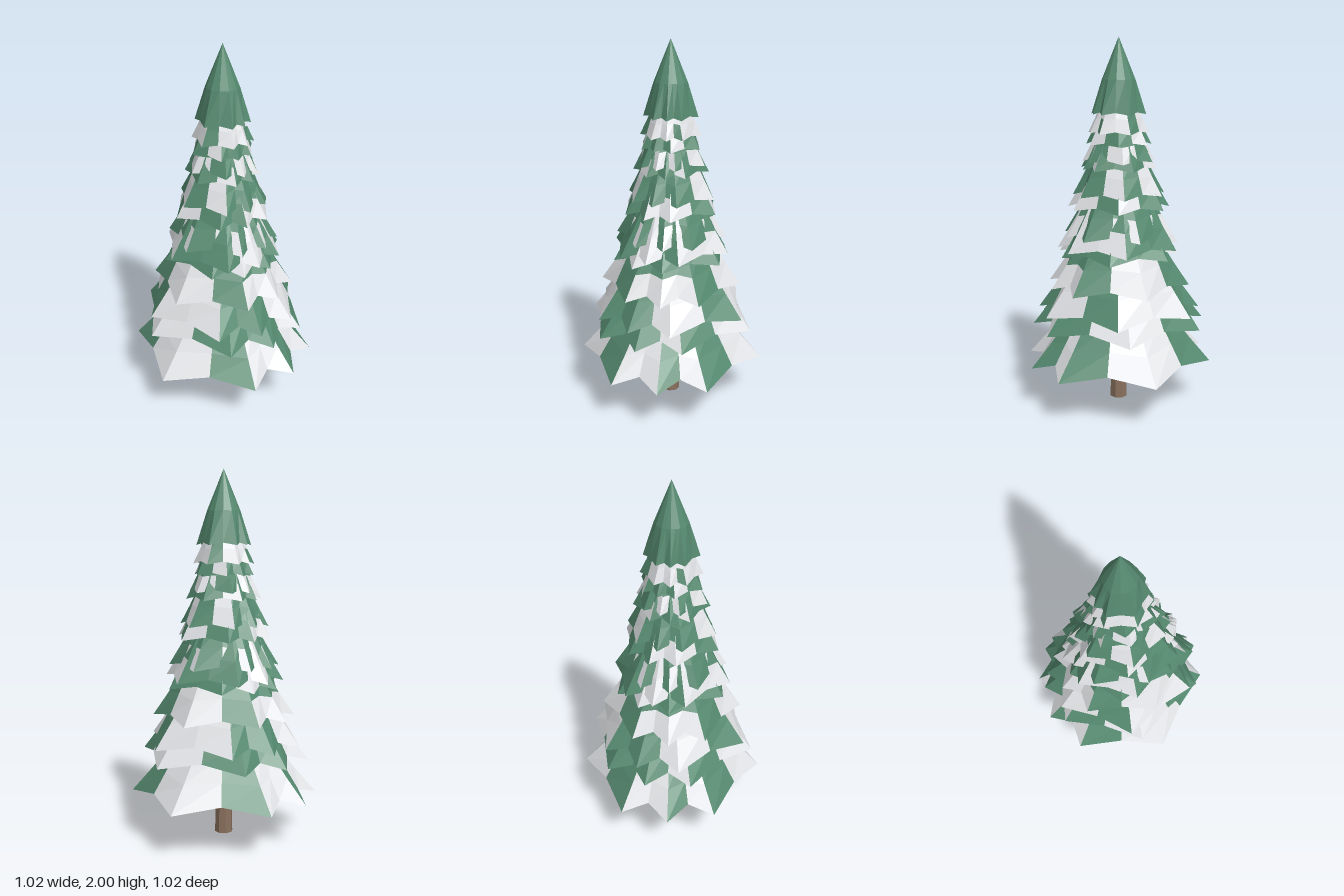
import * as THREE from 'three';

const makeColour = (name, color) => {
  const m = new THREE.MeshStandardMaterial({ color, side: THREE.DoubleSide });
  m.name = name;
  return m;
};
const needle = makeColour('needle green', 0x55896f);
const snow = makeColour('snow white', 0xe2e4e7);
const bark = makeColour('bark brown', 0x8a705e);

// Star corners for half a turn, in degrees; even entries are tips, odd are valleys
const HALF = [0, 30, 60, 75, 90, 105, 120, 150];

// Rim height, tip radius, turn, and colour per sector (w = snow, g = needles)
// for the lower and upper half of the visible skirt; repeats after half a turn
const TIERS = [
  [0.235, 0.512, 0, 'wgwgwwgw', 'wgwgwwgw'],
  [0.45, 0.475, 15, 'wgwggggw', 'wgwggggw'],
  [0.53, 0.445, 22.5, 'gwwgggww', 'gwwgggww'],
  [0.67, 0.39, 0, 'wgwwwwgw', 'wggggggw'],
  [0.84, 0.33, 30, 'gggwwggg', 'gggggggg'],
  [0.88, 0.335, 15, 'wwgwwggg', 'gwgwwggg'],
  [0.95, 0.3, 0, 'wggwggwg', 'gggggggg'],
  [1.1, 0.275, 22.5, 'gwwwgggw', 'gwggggwg'],
  [1.17, 0.25, 15, 'wgggggwg', 'wgggggwg'],
  [1.31, 0.205, 0, 'ggwgggwg', 'gggggggg'],
  [1.35, 0.195, 15, 'wgwwwggw', 'ggggwggg'],
  [1.44, 0.175, 22.5, 'gwggggwg', 'gggggggg'],
  [1.5, 0.165, 0, 'wwgwwwwg', 'wwwwwwwg'],
];

// A ring of 16 points; the star shape fades as "star" goes to 0
function ring(r, y, turn, star) {
  return Array.from({ length: 16 }, (_, i) => {
    const a = THREE.MathUtils.degToRad(HALF[i % 8] + (i >= 8 ? 180 : 0) + turn);
    const valley = i % 2;
    const rr = r * (1 - 0.17 * star * valley);
    return [Math.cos(a) * rr, y + 0.085 * r * star * valley, Math.sin(a) * rr];
  });
}

function facetMesh(points, material, name) {
  const geo = new THREE.BufferGeometry();
  geo.setAttribute('position', new THREE.Float32BufferAttribute(points.flat(), 3));
  geo.computeVertexNormals();
  const mesh = new THREE.Mesh(geo, material);
  mesh.name = name;
  return mesh;
}

// Joins rings upward from the underside hole, round the rim and up the outside
function skirt(rings, bands, name) {
  const green = [], white = [];
  for (let b = 0; b < rings.length - 1; b++) {
    for (let i = 0; i < 16; i++) {
      const j = (i + 1) % 16;
      const [p, q, s, t] = [rings[b][i], rings[b + 1][i], rings[b][j], rings[b + 1][j]];
      const target = bands[b][i % 8] === 'w' ? white : green;
      target.push(p, q, s, s, q, t);
    }
  }
  const group = new THREE.Group();
  group.name = name;
  group.add(facetMesh(green, needle, name + 'Needles'));
  if (white.length) group.add(facetMesh(white, snow, name + 'Snow'));
  return group;
}

export function createModel() {
  const tree = new THREE.Group();
  tree.name = 'snowyTree';
  const plain = 'gggggggg';

  // Trunk
  const trunk = new THREE.Mesh(
    new THREE.CylinderGeometry(0.03, 0.05, 0.9, 8).toNonIndexed(), bark);
  trunk.geometry.computeVertexNormals();
  trunk.position.y = 0.45;
  trunk.name = 'trunk';
  tree.add(trunk);

  // Overlapping branch tiers with shallow undersides, steeper toward the top
  TIERS.forEach(([y, r, turn, low, high], n) => {
    const slope = 1.2 + (y - 0.24) * 0.75;
    const rise = 0.45 * r * slope;
    tree.add(skirt([
      ring(r * 0.29, y + r * 0.26, turn, 0),
      ring(r, y, turn, 1),
      ring(r * 0.775, y + rise * 0.48, turn, 0.6),
      ring(r * 0.55, y + rise, turn, 0.2),
      ring(r * 0.28, y + rise + 0.6 * r, turn, 0),
    ], [plain, low, high, high], 'branchTier' + (n + 1)));
  });

  // Pointed crown
  tree.add(skirt([
    ring(0.043, 1.64, 0, 0),
    ring(0.147, 1.6, 0, 1),
    ring(0.09, 1.78, 0, 0.2),
    ring(0.0005, 2, 0, 0),
  ], [plain, plain, plain], 'crown'));

  return tree;
}
